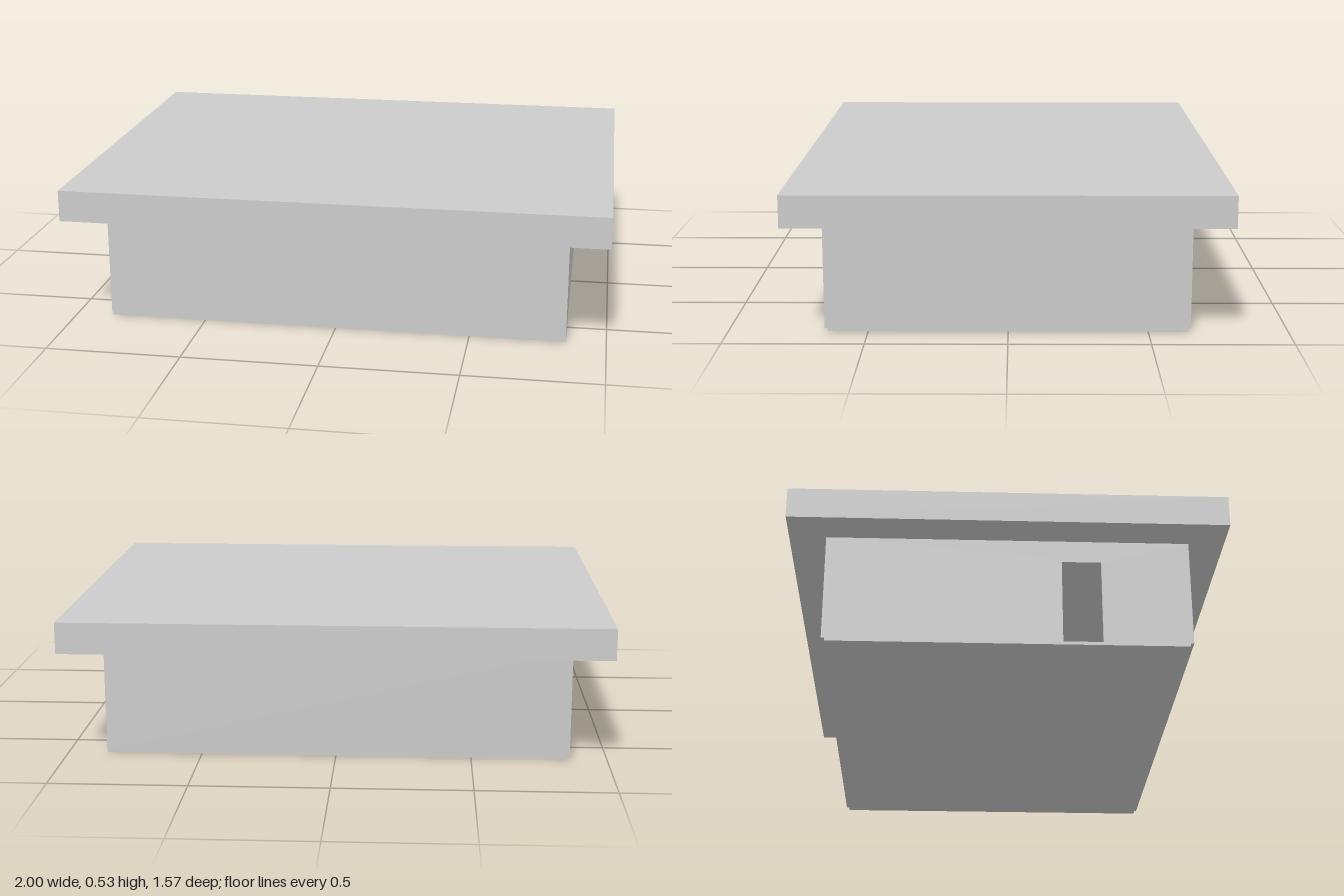
import * as THREE from 'three';

const material = new THREE.MeshStandardMaterial({ color: 0xcccccc, flatShading: true });

// Box given by its minimum and maximum corners
function block(name, [x0, y0, z0], [x1, y1, z1]) {
  const mesh = new THREE.Mesh(new THREE.BoxGeometry(x1 - x0, y1 - y0, z1 - z0), material);
  mesh.name = name;
  mesh.position.set((x0 + x1) / 2, (y0 + y1) / 2, (z0 + z1) / 2);
  return mesh;
}

export function createModel() {
  const group = new THREE.Group();
  group.name = 'flatRoofedBuilding';

  const left = 0.854, right = -0.862; // outer wall faces in x
  const front = 0.656, back = -0.652; // outer wall faces in z
  const t = 0.012; // wall thickness
  const floorTop = 0.012, wallTop = 0.414;

  // Floor slab and overhanging flat roof
  group.add(block('floor', [right, 0, back + t], [left, floorTop, front - t]));
  group.add(block('roof', [-1, wallTop, -0.785], [1, 0.53, 0.785]));

  // Thin front and back walls, standing just outside the slab
  group.add(block('frontWall', [right, floorTop, front - t], [left, wallTop, front]));
  group.add(block('backWall', [right, floorTop, back], [left, wallTop, back + t]));

  // Left wall
  group.add(block('leftWall', [left - t, floorTop, back + t], [left, wallTop, front - t]));

  // Right wall with a doorway cut out of its lower edge
  const doorBack = 0.195, doorFront = 0.337, doorTop = 0.33;
  const outline = new THREE.Shape([
    [back + t, floorTop], [doorBack, floorTop], [doorBack, doorTop], [doorFront, doorTop],
    [doorFront, floorTop], [front - t, floorTop], [front - t, wallTop], [back + t, wallTop],
  ].map(([z, y]) => new THREE.Vector2(-z, y)));
  const rightWall = new THREE.Mesh(
    new THREE.ExtrudeGeometry(outline, { depth: t, bevelEnabled: false }), material);
  rightWall.name = 'rightWallWithDoorway';
  rightWall.rotation.y = Math.PI / 2; // shape x runs along -z, depth along +x
  rightWall.position.x = right;
  group.add(rightWall);

  return group;
}
